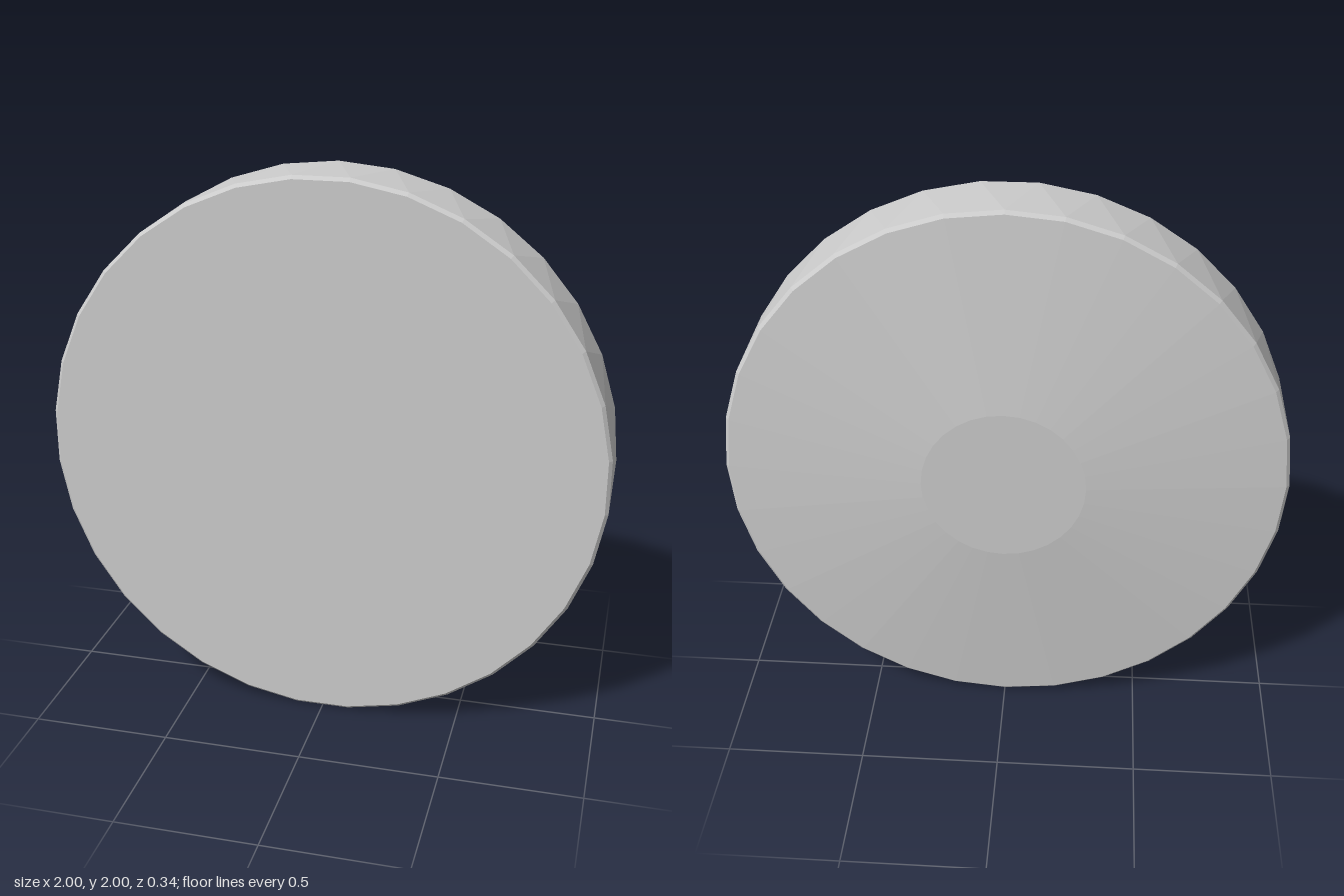
import * as THREE from 'three';

const SIDES = 32;

// Ring stack along z: [radius, z, twist in steps]; front rings sit half a step round from the back ones
const RINGS = [
  [0.988, 0.17, 0.5],
  [1.0, 0.158, 0.5],
  [1.0, -0.09, 0],
  [0.988, -0.102, 0],
  [0.29, -0.17, 0],
];

function ringPoint([radius, z, twist], i) {
  const a = ((i + twist) / SIDES) * Math.PI * 2;
  return [radius * Math.cos(a), radius * Math.sin(a), z];
}

function band(front, back) {
  const pos = [];
  for (let i = 0; i < SIDES; i++) {
    const a = ringPoint(front, i), b = ringPoint(front, i + 1);
    const c = ringPoint(back, i), d = ringPoint(back, i + 1);
    // the diagonal joins the nearest points of the two rings
    pos.push(...a, ...c, ...d, ...a, ...d, ...b);
  }
  return pos;
}

function cap(ring, facing) {
  const pos = [];
  for (let i = 0; i < SIDES; i++) {
    const a = ringPoint(ring, i), b = ringPoint(ring, i + 1);
    pos.push(0, 0, ring[1], ...(facing > 0 ? a : b), ...(facing > 0 ? b : a));
  }
  return pos;
}

export function createModel() {
  const group = new THREE.Group();
  group.name = 'disc';
  const material = new THREE.MeshStandardMaterial({ color: 0xcccccc, flatShading: true });

  const add = (name, positions) => {
    const geometry = new THREE.BufferGeometry();
    geometry.setAttribute('position', new THREE.Float32BufferAttribute(positions, 3));
    geometry.computeVertexNormals();
    const mesh = new THREE.Mesh(geometry, material);
    mesh.name = name;
    mesh.position.y = 1;
    group.add(mesh);
  };

  // Flat front, bevelled rim, shallow cone and flat hub at the back
  add('frontFace', cap(RINGS[0], 1));
  ['frontBevel', 'rim', 'backBevel', 'backCone'].forEach((name, i) => add(name, band(RINGS[i], RINGS[i + 1])));
  add('backHub', cap(RINGS[4], -1));
  return group;
}
